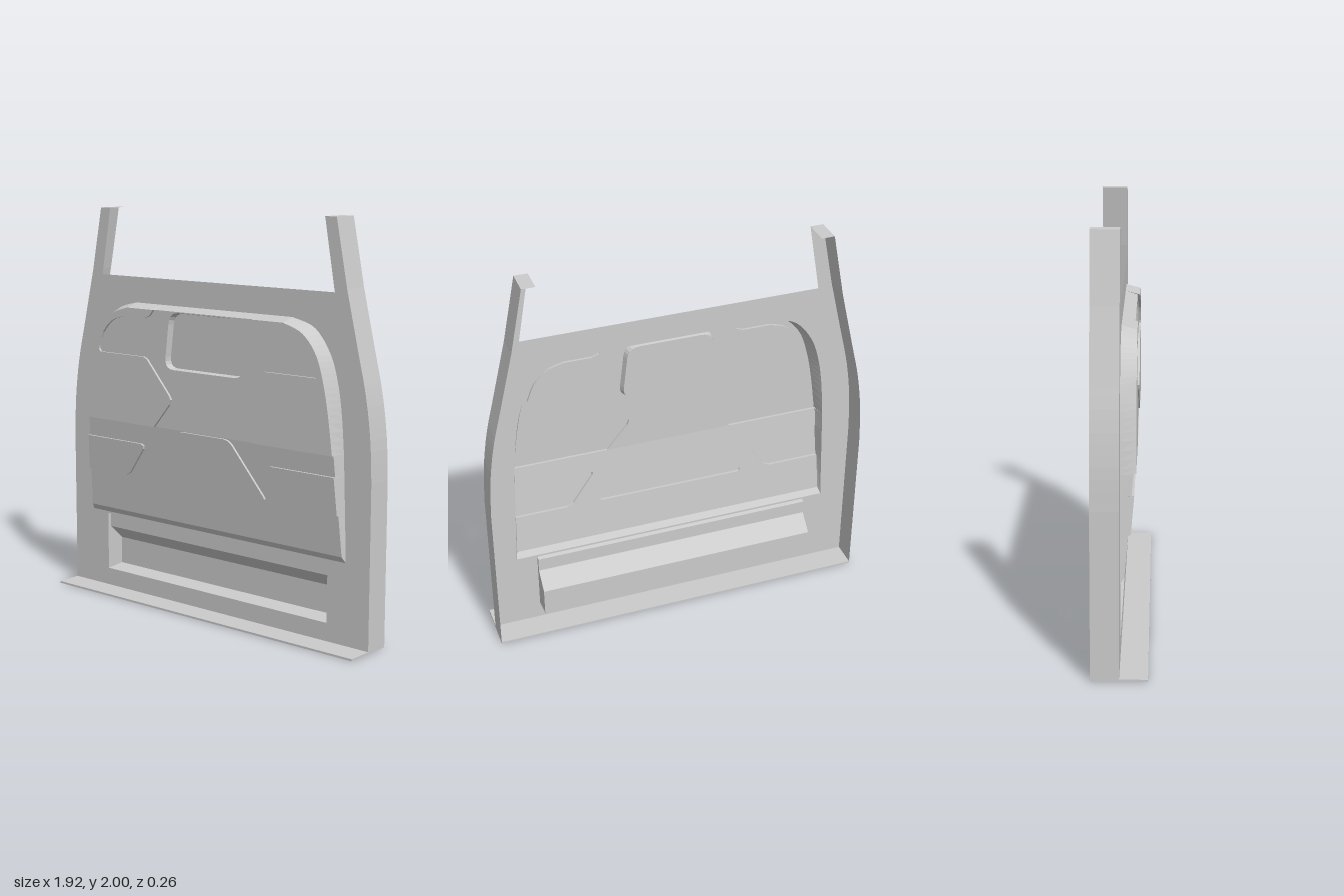
import * as THREE from 'three';

const mat = new THREE.MeshStandardMaterial({ color: 0xcccccc, side: THREE.DoubleSide });
const DEPTH = 0.13, PAD = 0.012, SILL = 0.92;

// Height of the pressed face: flat above the crease, sloping back below it
const faceZ = (y) => (y >= SILL ? 0.06 : 0.02 + ((y - 0.44) / 0.48) * 0.04);
const flat = (z) => () => z;
const raised = (off) => (y) => faceZ(y) + off;

const mirror = (pts, s) => pts.map(([x, y]) => [x * s, y]);
const bothSides = (pts) => [...pts, ...mirror(pts, -1).reverse()];
const spline = (pts, n) =>
  new THREE.SplineCurve(pts.map((p) => new THREE.Vector2(...p))).getPoints(n).map((v) => [v.x, v.y]);

// Polygon with rounded corners
function rounded(pts, r) {
  const path = [];
  const V = pts.map((p) => new THREE.Vector2(...p));
  V.forEach((p, i) => {
    const a = V[(i + V.length - 1) % V.length], b = V[(i + 1) % V.length];
    const p0 = p.clone().add(a.clone().sub(p).setLength(r));
    const p1 = p.clone().add(b.clone().sub(p).setLength(r));
    new THREE.QuadraticBezierCurve(p0, p, p1).getPoints(5).forEach((q) => path.push([q.x, q.y]));
  });
  return path;
}

export function createModel() {
  const group = new THREE.Group();

  const add = (name, geo) => {
    const mesh = new THREE.Mesh(geo, mat);
    mesh.name = name;
    group.add(mesh);
  };

  // Sheet cut from an outline, laid on the height rule z(y)
  const sheet = (name, outline, z, holes = []) => {
    const vec = (pts) => pts.map((p) => new THREE.Vector2(...p));
    const shape = new THREE.Shape(vec(outline));
    holes.forEach((h) => shape.holes.push(new THREE.Path(vec(h))));
    const geo = new THREE.ShapeGeometry(shape).toNonIndexed();
    const pos = geo.attributes.position;
    for (let i = 0; i < pos.count; i++) pos.setZ(i, z(pos.getY(i)));
    geo.computeVertexNormals();
    add(name, geo);
  };

  // Ribbon joining two outlines of equal length
  const ribbon = (name, a, za, b, zb, closed = false) => {
    const v = [];
    const n = a.length;
    for (let i = 0; i < (closed ? n : n - 1); i++) {
      const j = (i + 1) % n;
      const P = (p, z) => [p[0], p[1], z(p[1])];
      const [A, B, C, D] = [P(a[i], za), P(a[j], za), P(b[j], zb), P(b[i], zb)];
      v.push(...A, ...B, ...C, ...A, ...C, ...D);
    }
    const geo = new THREE.BufferGeometry();
    geo.setAttribute('position', new THREE.Float32BufferAttribute(v, 3));
    geo.computeVertexNormals();
    add(name, geo);
  };

  // Outlines of the right-hand half, from the bottom up
  const outer = [[0.96, 0], [0.96, 0.6],
    ...spline([[0.96, 0.8], [0.95, 1], [0.922, 1.2], [0.875, 1.4], [0.808, 1.68]], 16), [0.745, 2]];
  const rimOut = spline([[0.805, 0.92], [0.79, 1.1], [0.765, 1.25], [0.72, 1.38], [0.63, 1.49], [0.5, 1.53]], 24);
  const rimIn = spline([[0.79, 0.92], [0.765, 1.1], [0.735, 1.25], [0.69, 1.38], [0.61, 1.47], [0.5, 1.51]], 24);
  const lowOut = [[0.825, 0.41], [0.817, 0.62], [0.8171, 0.62], [0.809, 0.82], [0.8091, 0.82], [0.805, SILL]];
  const lowIn = [[0.815, 0.44], [0.805, 0.64], [0.805, 0.64], [0.795, 0.82], [0.795, 0.82], [0.79, SILL]];

  // Edge between the cross-shaped web and the upper side pads
  const webEdge = [[0.32, SILL], [0.215, 1.045], [0.205, 1.07], [0.215, 1.09], [0.365, 1.26], [0.39, 1.27],
    [0.69, 1.27], [0.702, 1.285],
    ...spline([[0.7, 1.3], [0.665, 1.38], [0.6, 1.44], [0.52, 1.465]], 10),
    [0.38, 1.465], [0.345, 1.48], [0.32, 1.51]];

  // Door skin with the window opening and openings for the pressings
  const well = [[0.72, 0.1], [0.72, 0.4]];
  const bulge = bothSides([lowOut[0], ...rimOut]);
  sheet('doorSkin', bothSides([...outer, [0.68, 2], [0.74, 1.66]]), flat(0), [bulge, bothSides(well)]);

  // Cross-shaped web with the upper centre pocket
  const pocket = rounded([[0.255, 1.22], [0.22, 1.505], [-0.22, 1.505], [-0.255, 1.22]], 0.06);
  const pocketFloor = pocket.map(([x, y]) => [x * 0.96, 1.363 + (y - 1.363) * 0.96]);
  sheet('crossWeb', bothSides(webEdge), faceZ, [pocket]);
  ribbon('pocketWall', pocket, faceZ, pocketFloor, flat(0.03), true);
  sheet('pocketFloor', pocketFloor, flat(0.03));

  // Lower sloping face with its raised centre pad
  const pad = rounded([[-0.39, 0.64], [0.39, 0.64], [0.17, 0.917], [-0.17, 0.917]], 0.035);
  const sidePad = [[0.795, 0.82], [0.42, 0.82], [0.403, 0.812], [0.405, 0.795],
    [0.51, 0.655], [0.54, 0.64], [0.805, 0.64]];
  sheet('lowerFace', bothSides([lowIn[0], ...[...sidePad].reverse(), [0.79, SILL]]), faceZ, [pad]);
  sheet('centrePad', pad, raised(PAD));
  ribbon('centrePadEdge', pad, faceZ, pad, raised(PAD), true);

  for (const s of [1, -1]) {
    const m = (pts) => mirror(pts, s);
    // Side flange and top cap of the window post
    ribbon('sideFlange', m(outer), flat(0), m(outer), flat(-DEPTH));
    const cap = m([[0.745, 2], [0.68, 2]]);
    ribbon('postCap', cap, flat(0), cap, flat(-DEPTH));

    // Raised pads and their steps
    sheet('upperPad', m([...webEdge, ...[...rimIn].reverse()]), raised(PAD));
    ribbon('upperPadEdge', m(webEdge), faceZ, m(webEdge), raised(PAD));
    const under = m([[0.32, SILL], [0.79, SILL]]);
    ribbon('upperPadLowerEdge', under, faceZ, under, raised(PAD));
    sheet('lowerPad', m(sidePad), raised(PAD));
    ribbon('lowerPadEdge', m(sidePad), faceZ, m(sidePad), raised(PAD));

    // Sloping rim of the pressing
    ribbon('upperRim', m(rimOut), flat(0), m(rimIn), raised(PAD));
    ribbon('topRim', m([[0.5, 1.53], [0.32, 1.53]]), flat(0), m([[0.5, 1.51], [0.32, 1.51]]), raised(PAD));
    [[0, 0], [2, PAD], [4, 0]].forEach(([i, off]) =>
      ribbon('lowerRim', m(lowOut.slice(i, i + 2)), flat(0), m(lowIn.slice(i, i + 2)), raised(off)));
  }
  ribbon('topRim', [[-0.32, 1.53], [0.32, 1.53]], flat(0), [[-0.32, 1.51], [0.32, 1.51]], faceZ);
  ribbon('bottomRim', [[-0.825, 0.41], [0.825, 0.41]], flat(0), [[-0.815, 0.44], [0.815, 0.44]], faceZ);

  // Stepped well near the bottom, pressed towards the back: [y, z] section
  const section = [[0.4, 0], [0.395, -0.02], [0.325, -0.02], [0.25, -0.1], [0.11, -0.1], [0.1, 0]];
  for (let i = 0; i < section.length - 1; i++) {
    const [[y0, z0], [y1, z1]] = [section[i], section[i + 1]];
    ribbon('lowerWell', [[-0.72, y0], [0.72, y0]], flat(z0), [[-0.72, y1], [0.72, y1]], flat(z1));
    for (const x of [-0.72, 0.72]) {
      const geo = new THREE.BufferGeometry().setFromPoints(
        [[y0, 0], [y0, z0], [y1, z1], [y0, 0], [y1, z1], [y1, 0]].map(([y, z]) => new THREE.Vector3(x, y, z)));
      geo.computeVertexNormals();
      add('wellEnd', geo);
    }
  }

  // Bottom plate reaching in front of and behind the skin
  const plate = new THREE.BoxGeometry(1.92, 0.01, 2 * DEPTH);
  plate.translate(0, 0.005, 0);
  add('bottomPlate', plate);

  return group;
}
